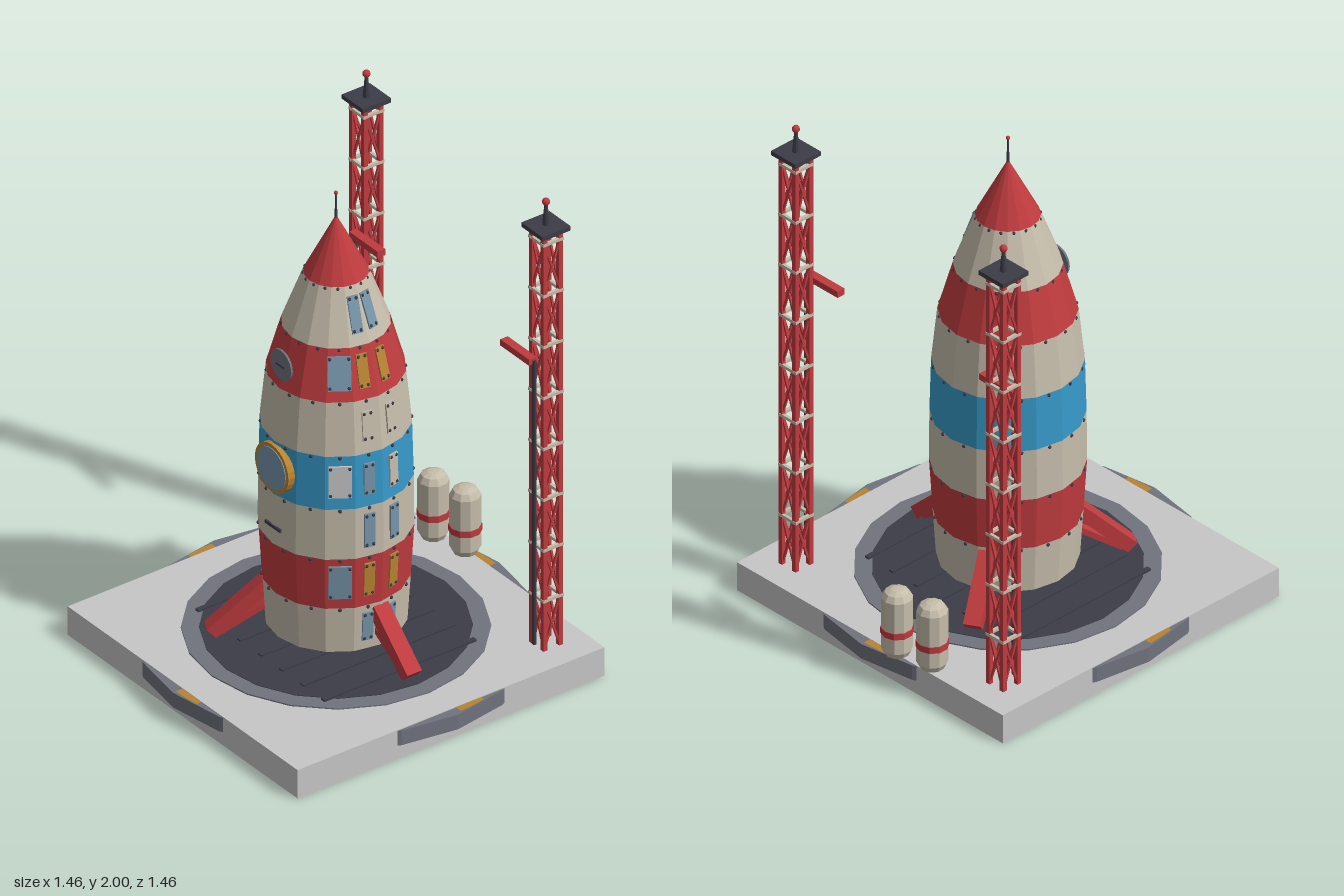
import * as THREE from 'three';

const mat = (name, color) => {
  const m = new THREE.MeshStandardMaterial({ color, flatShading: true });
  m.name = name;
  return m;
};

export function createModel() {
  const root = new THREE.Group();
  root.name = 'rocketOnLaunchPad';
  const red = mat('red', 0xbf3b3e), cream = mat('cream', 0xc6bdab), blue = mat('blue', 0x379aca);
  const amber = mat('amber', 0xb98432), glass = mat('glass', 0x7795aa), dark = mat('dark', 0x3c3c47);
  const grey = mat('grey', 0x70737d), concrete = mat('concrete', 0xc6c6c6);

  const add = (parent, name, geo, m, x = 0, y = 0, z = 0) => {
    const mesh = new THREE.Mesh(geo, m);
    mesh.name = name;
    mesh.position.set(x, y, z);
    parent.add(mesh);
    return mesh;
  };
  const group = (parent, name, x = 0, y = 0, z = 0) => {
    const g = new THREE.Group();
    g.name = name;
    g.position.set(x, y, z);
    parent.add(g);
    return g;
  };
  const box = (w, h, d) => new THREE.BoxGeometry(w, h, d);
  const cyl = (rt, rb, h, n) => new THREE.CylinderGeometry(rt, rb, h, n);
  const UP = new THREE.Vector3(0, 1, 0);
  // Square beam between two points
  const beam = (parent, name, a, b, w, d, m) => {
    const A = new THREE.Vector3(...a), B = new THREE.Vector3(...b), dir = B.clone().sub(A);
    const mesh = add(parent, name, box(w, dir.length(), d), m);
    mesh.position.copy(A).add(B).multiplyScalar(0.5);
    mesh.quaternion.setFromUnitVectors(UP, dir.normalize());
    return mesh;
  };

  // Launch pad
  const pad = group(root, 'launchPad');
  add(pad, 'slab', box(1.37, 0.12, 1.37), concrete, 0, 0.06, 0);
  add(pad, 'outerDisc', cyl(0.728, 0.728, 0.062, 20), grey, 0, 0.086, 0);
  for (let i = 0; i < 4; i++) {
    const mark = add(pad, 'hazardMark', new THREE.RingGeometry(0.66, 0.715, 1, 1, 0, 0.16), amber, 0, 0.1185, 0);
    mark.rotation.set(-Math.PI / 2, 0, (i * Math.PI) / 2 + (i % 2 ? 0 : 0.03));
  }
  add(pad, 'padRing', cyl(0.555, 0.555, 0.01, 20), grey, 0, 0.12, 0);
  add(pad, 'padDisc', cyl(0.49, 0.49, 0.012, 20), dark, 0, 0.121, 0);
  for (let i = -3; i <= 3; i++) add(pad, 'padRib', box(0.02, 0.012, 0.68), dark, i * 0.125, 0.127, 0);

  // Rocket hull: stacked sixteen-sided bands
  const rocket = group(root, 'rocket');
  const N = 16, COS = Math.cos(Math.PI / N);
  const profile = [[0.175, 0.258], [0.365, 0.27], [0.58, 0.283], [0.79, 0.281], [1.01, 0.275],
    [1.225, 0.253], [1.42, 0.198], [1.63, 0.119], [1.86, 0.002]];
  const bandMats = [cream, red, cream, blue, cream, red, cream, red];
  const bolt = new THREE.SphereGeometry(0.0075, 6, 4);
  const radiusAt = (y) => {
    let i = 0;
    while (i < profile.length - 2 && y > profile[i + 1][0]) i++;
    const [y0, r0] = profile[i], [y1, r1] = profile[i + 1];
    return r0 + ((r1 - r0) * (y - y0)) / (y1 - y0);
  };
  bandMats.forEach((m, i) => {
    const [y0, r0] = profile[i], [y1, r1] = profile[i + 1];
    add(rocket, i === 7 ? 'noseCone' : 'hullBand', cyl(r1, r0, y1 - y0, N), m, 0, (y0 + y1) / 2, 0);
    if (i === 0) return;
    // Bolts around each seam
    for (let k = 0; k < N; k++) {
      const a = ((k + 0.5) * 2 * Math.PI) / N, r = r0 * COS;
      add(rocket, 'seamBolt', bolt, dark, Math.sin(a) * r, y0 - 0.008, Math.cos(a) * r);
    }
  });
  add(rocket, 'nozzle', cyl(0.13, 0.18, 0.05, N), dark, 0, 0.151, 0);
  add(rocket, 'noseAntenna', cyl(0.003, 0.006, 0.11, 6), dark, 0, 1.9, 0);
  add(rocket, 'antennaTip', new THREE.SphereGeometry(0.008, 8, 6), red, 0, 1.955, 0);

  // Plates bolted to the facets of the +x side; facet counts towards +z
  const panel = (facet, y0, y1, w, m) => {
    const a = Math.PI / 2 - ((facet + 0.5) * 2 * Math.PI) / N;
    const r0 = radiusAt(y0) * COS, r1 = radiusAt(y1) * COS;
    const spin = group(rocket, 'sidePanel');
    spin.rotation.y = a;
    const p = group(spin, 'panelMount', 0, (y0 + y1) / 2, (r0 + r1) / 2 + 0.003);
    p.rotation.x = Math.atan2(r1 - r0, y1 - y0);
    add(p, 'panelPlate', box(w, y1 - y0, 0.008), m);
    for (const sx of [-1, 1]) for (const sy of [-1, 1]) {
      add(p, 'panelBolt', bolt, dark, sx * (w / 2 - 0.008), sy * ((y1 - y0) / 2 - 0.01), 0.002);
    }
  };
  const rows = [
    [0.215, 0.335, glass, glass], [0.41, 0.55, amber, amber, glass], [0.62, 0.76, glass, glass],
    [0.84, 0.97, glass, cream, concrete], [1.06, 1.18, cream, cream],
    [1.265, 1.395, amber, amber, glass], [1.46, 1.6, glass, glass],
  ];
  for (const [y0, y1, front, back, wide] of rows) {
    panel(0, y0, y1, 0.042, front);
    panel(-1, y0, y1, 0.042, back);
    if (wide) panel(1, y0, y1, 0.085, wide);
  }

  // Round front window, hatch and name plate
  const disc = (name, r, depth, m, y, z, n = 24) => {
    const d = add(rocket, name, cyl(r, r, depth, n), m, 0, y, z);
    d.rotation.x = Math.PI / 2;
  };
  disc('windowFrame', 0.1, 0.045, amber, 0.9, 0.265);
  disc('windowGlass', 0.085, 0.008, glass, 0.9, 0.287);
  disc('hatchStem', 0.02, 0.06, dark, 1.32, 0.21, 8);
  disc('hatch', 0.062, 0.008, grey, 1.32, 0.243);
  add(rocket, 'hatchHandle', box(0.05, 0.007, 0.006), dark, 0, 1.32, 0.249);
  add(rocket, 'plainPlate', box(0.09, 0.013, 0.008), dark, 0, 0.653, 0.281);

  // Three landing legs
  for (let i = 0; i < 3; i++) {
    const leg = group(rocket, 'landingLeg');
    leg.rotation.y = (i * 2 * Math.PI) / 3;
    beam(leg, 'legBeam', [0.25, 0.335, 0], [0.452, 0.143, 0], 0.05, 0.065, red);
    beam(leg, 'legBrace', [0.24, 0.255, 0], [0.42, 0.14, 0], 0.022, 0.04, red);
  }

  // Lattice towers with service arms
  for (const s of [-1, 1]) {
    const t = group(root, s > 0 ? 'leftTower' : 'rightTower', s * 0.535, 0, -0.537);
    const h = 0.035, step = 0.215;
    for (const x of [-h, h]) for (const z of [-h, h]) {
      add(t, 'towerLeg', box(0.018, 1.76, 0.018), red, x, 1.0, z);
    }
    for (let k = 0; k < 8; k++) {
      const y = 0.33 + k * step, low = Math.max(0.12, y - step);
      for (let f = 0; f < 4; f++) {
        const side = group(t, 'towerSide');
        side.rotation.y = (f * Math.PI) / 2;
        add(side, 'crossBar', box(0.092, 0.012, 0.012), cream, 0, y, h + 0.004);
        for (const d of [-1, 1]) {
          beam(side, 'diagonalBrace', [-h * d, low, h], [h * d, y, h], 0.008, 0.008, red);
        }
      }
    }
    add(t, 'supplyPipe', cyl(0.009, 0.009, 1.2, 6), dark, 0, 0.735, 0.052);
    add(t, 'serviceArm', box(0.17, 0.026, 0.034), red, -s * 0.085, 1.333, 0.06);
    add(t, 'topPlate', box(0.126, 0.018, 0.126), dark, 0, 1.88, 0);
    add(t, 'mast', cyl(0.006, 0.014, 0.09, 8), dark, 0, 1.93, 0);
    add(t, 'beacon', new THREE.SphereGeometry(0.015, 10, 8), red, 0, 1.985, 0);
  }

  // Fuel tanks behind the pad
  for (const [x, z] of [[-0.28, -0.645], [-0.13, -0.675]]) {
    const tank = group(root, 'fuelTank', x, 0, z);
    const pts = [[0, 0.12], [0.045, 0.12], [0.058, 0.145], [0.058, 0.36], [0.045, 0.383], [0.022, 0.393], [0, 0.395]];
    add(tank, 'tankBody', new THREE.LatheGeometry(pts.map(([r, y]) => new THREE.Vector2(r, y)), 10), cream);
    add(tank, 'tankBand', cyl(0.061, 0.061, 0.026, 10), red, 0, 0.223, 0);
  }
  return root;
}
